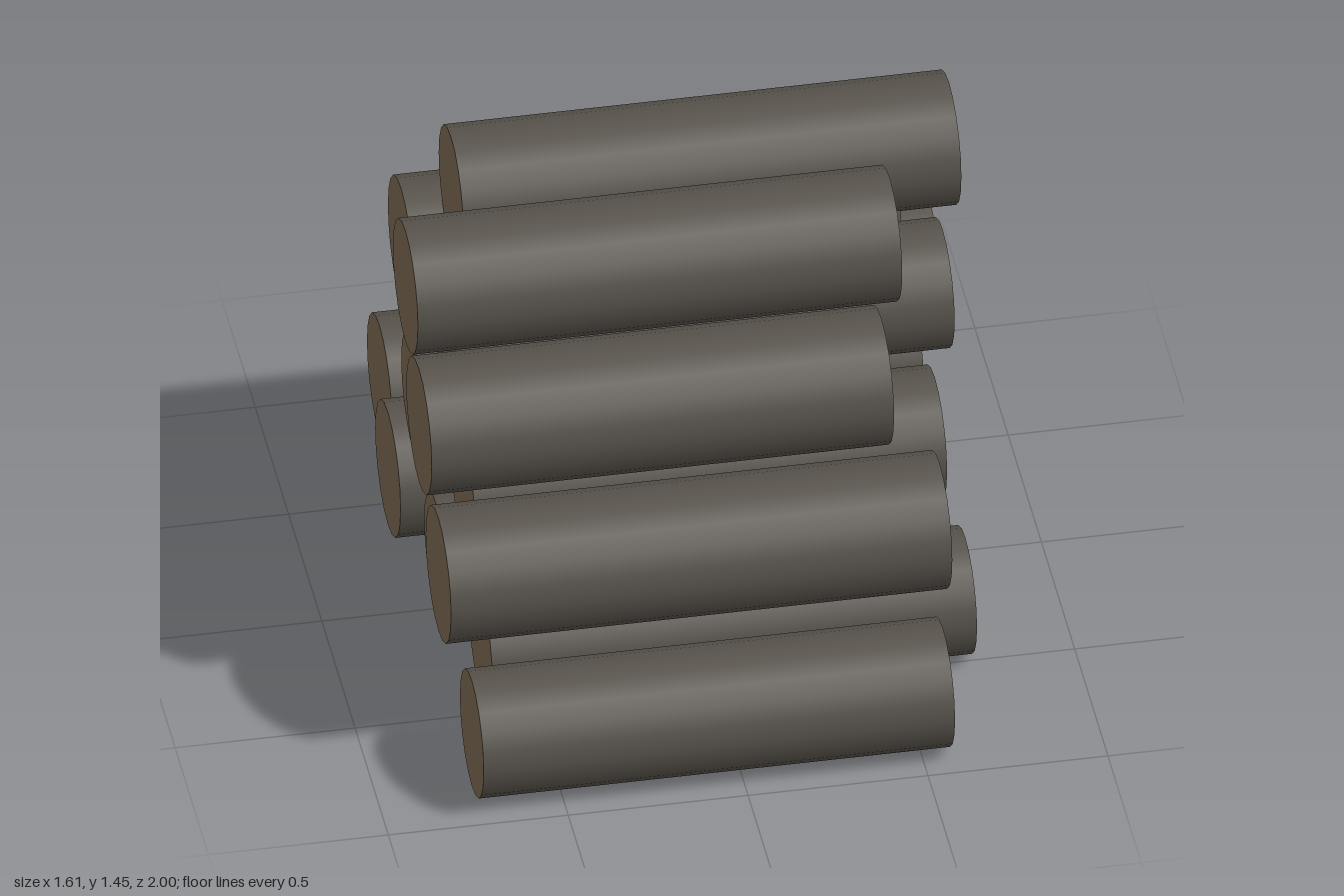
import * as THREE from 'three';

// One entry per log: left end x, right end x, centre y, centre z, radius
const ROWS = [
  [
    [-0.735, 0.575, 0.182, 0.822, 0.179],
    [-0.635, 0.712, 0.18, 0.413, 0.177],
    [-0.683, 0.62, 0.182, 0.003, 0.179],
    [-0.742, 0.605, 0.194, -0.402, 0.191],
    [-0.69, 0.665, 0.189, -0.811, 0.187],
  ],
  [
    [-0.79, 0.603, 0.581, 0.617, 0.191],
    [-0.648, 0.665, 0.574, 0.209, 0.185],
    [-0.708, 0.675, 0.577, -0.198, 0.187],
    [-0.588, 0.8, 0.573, -0.607, 0.184],
  ],
  [
    [-0.806, 0.479, 0.94, 0.412, 0.192],
    [-0.66, 0.725, 0.924, 0.004, 0.18],
    [-0.705, 0.65, 0.942, -0.405, 0.197],
  ],
  [
    [-0.806, 0.54, 1.265, 0.208, 0.188],
    [-0.604, 0.78, 1.263, -0.199, 0.186],
  ],
];

export function createModel() {
  const bark = new THREE.MeshStandardMaterial({ color: 0x58534c });
  bark.name = 'bark';
  const cutWood = new THREE.MeshStandardMaterial({ color: 0x7d6b54 });
  cutWood.name = 'cutWood';

  const pile = new THREE.Group();
  pile.name = 'logPile';

  ROWS.forEach((logs, level) => {
    const row = new THREE.Group();
    row.name = `logRow${level + 1}`;
    for (const [left, right, y, z, radius] of logs) {
      // Smooth bark side with a cut face on each end
      const geometry = new THREE.CylinderGeometry(radius, radius, right - left, 20);
      geometry.rotateZ(Math.PI / 2);
      const log = new THREE.Mesh(geometry, [bark, cutWood, cutWood]);
      log.name = 'log';
      log.position.set((left + right) / 2, y, z);
      row.add(log);
    }
    pile.add(row);
  });

  return pile;
}
